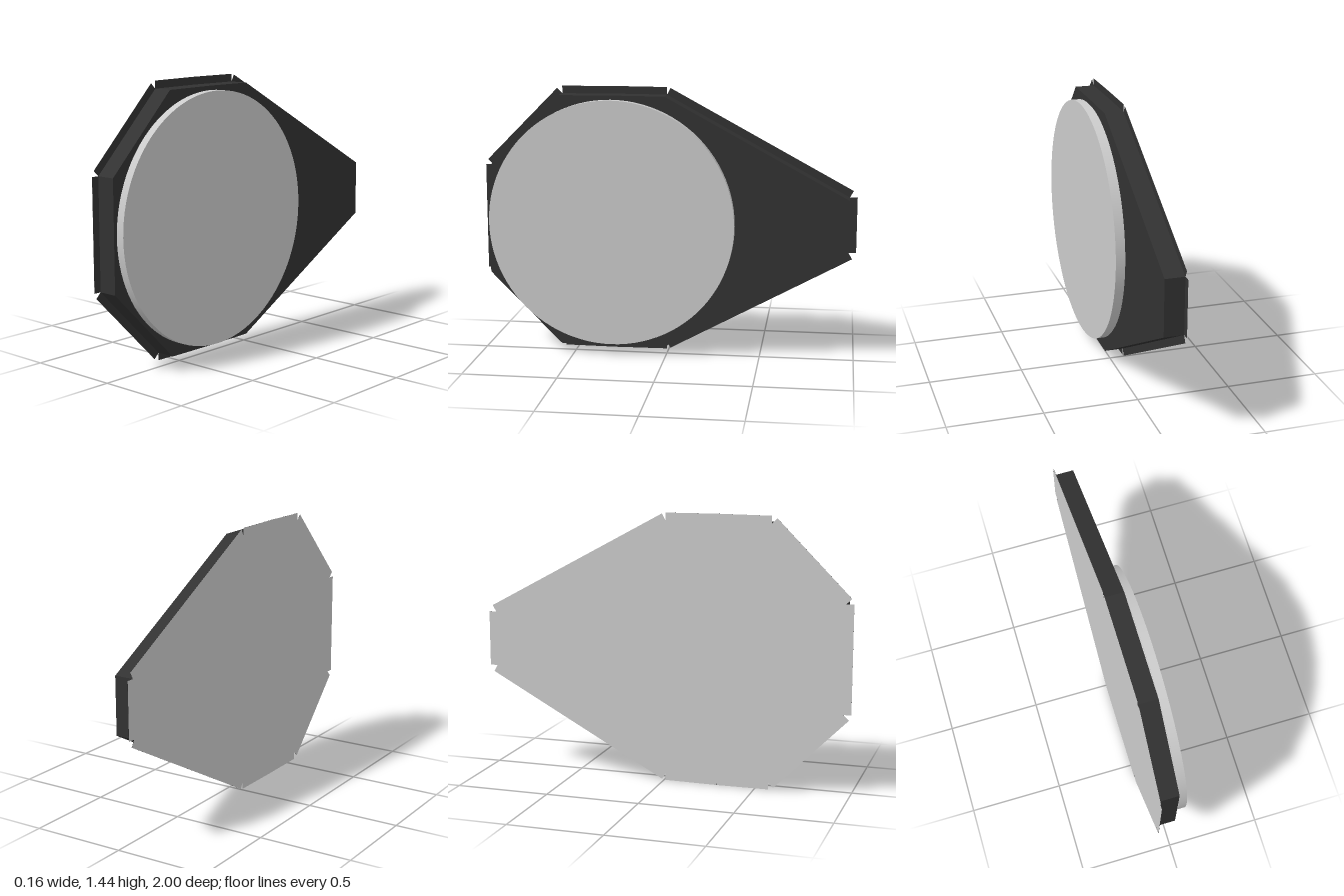
import * as THREE from 'three';

const MID_Y = 0.717, BACK = -0.078, FRONT = 0.025, FLAP = 0.04;

export function createModel() {
  const group = new THREE.Group();
  const grey = new THREE.MeshStandardMaterial({ color: 0xcccccc });
  const greySheet = new THREE.MeshStandardMaterial({ color: 0xcccccc, side: THREE.DoubleSide });
  const dark = new THREE.MeshStandardMaterial({ color: 0x323232 });
  const darkSheet = new THREE.MeshStandardMaterial({ color: 0x323232, side: THREE.DoubleSide });

  // Parts are drawn flat in (-z, y) and extruded along z, then turned to face +x
  const body = new THREE.Group();
  body.name = 'body';
  body.rotation.y = Math.PI / 2;
  group.add(body);

  const add = (name, geometry, material, depth, x = 0, y = 0) => {
    const mesh = new THREE.Mesh(geometry, material);
    mesh.name = name;
    mesh.position.set(x, y, depth);
    body.add(mesh);
    return mesh;
  };

  // Outline of the housing: lower half, mirrored to the upper half
  const lower = [[-0.96, 0.432], [-0.572, 0.041], [-0.2925, 0.039], [-0.01, 0.041], [0.96, 0.568]]
    .map(([u, y]) => new THREE.Vector2(u, y));
  const upper = lower.map(p => new THREE.Vector2(p.x, 2 * MID_Y - p.y)).reverse();
  const outline = [...lower, ...upper];

  add('housing', new THREE.ExtrudeGeometry(new THREE.Shape(outline), {
    depth: FRONT - BACK - 0.001, bevelEnabled: false
  }), dark, BACK + 0.001);

  // One thin flap along every edge, square to it, leaving notches at corners
  const sheetPoints = [];
  outline.forEach((p, i) => {
    const q = outline[(i + 1) % outline.length];
    const d = q.clone().sub(p).normalize();
    const n = new THREE.Vector2(d.y, -d.x).multiplyScalar(FLAP);
    const corners = [p, p.clone().add(n), q.clone().add(n), q];
    add('edgeFlap', new THREE.ShapeGeometry(new THREE.Shape(corners)), darkSheet, BACK + 0.001);
    sheetPoints.push(...corners.slice(0, 3));
  });

  // Pale backing sheet covering the housing and flaps
  add('backSheet', new THREE.ShapeGeometry(new THREE.Shape(sheetPoints)), greySheet, BACK);

  // Round disc on a slightly narrower foot
  const disc = (name, radius, from, to) => {
    const geometry = new THREE.CylinderGeometry(radius, radius, to - from, 96).rotateX(Math.PI / 2);
    add(name, geometry, grey, (from + to) / 2, -0.293, MID_Y);
  };
  disc('discFoot', 0.648, FRONT, 0.034);
  disc('disc', 0.657, 0.034, 0.078);

  return group;
}
